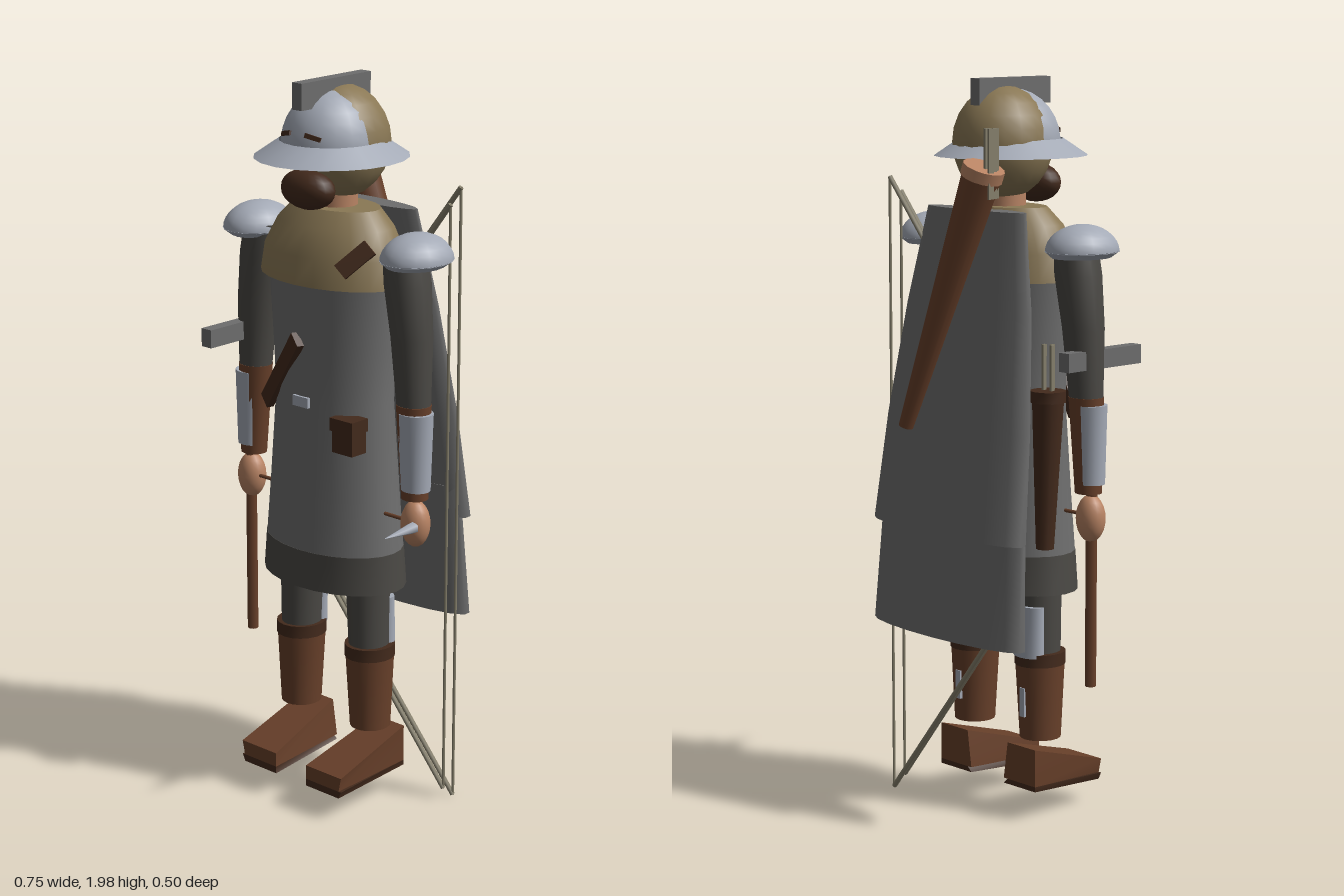
import * as THREE from 'three';

const mat = (name, color) => Object.assign(new THREE.MeshStandardMaterial({ color }), { name });

export function createModel() {
  const steel = mat('steel', 0xa4aab6), tan = mat('tan cloth', 0x8a7855), grey = mat('grey cloth', 0x6e6e6e);
  const dark = mat('dark cloth', 0x4a4844), brown = mat('brown leather', 0x68402a), bark = mat('dark leather', 0x432a1c);
  const skin = mat('skin', 0xb98464), wood = mat('pale wood', 0x86806c);
  const model = new THREE.Group();
  model.name = 'archer';

  const add = (name, geo, material, parent = model) => {
    const m = new THREE.Mesh(geo, material);
    m.name = name;
    parent.add(m);
    return m;
  };
  // Closed tube through elliptical rings [y, cx, cz, rx, rz], listed upward
  const loft = (rows, sides = 18) => {
    const pos = [], idx = [];
    const ring = ([y, cx, cz, rx, rz]) => {
      const start = pos.length / 3;
      for (let i = 0; i < sides; i++) {
        const a = (i / sides) * Math.PI * 2;
        pos.push(cx + rx * Math.sin(a), y, cz + rz * Math.cos(a));
      }
      return start;
    };
    const starts = rows.map(ring);
    for (let r = 0; r + 1 < rows.length; r++)
      for (let i = 0; i < sides; i++) {
        const j = (i + 1) % sides, a = starts[r], b = starts[r + 1];
        idx.push(a + i, a + j, b + j, a + i, b + j, b + i);
      }
    for (const [row, up] of [[rows[0], false], [rows[rows.length - 1], true]]) {
      const s = ring(row), c = pos.length / 3;
      pos.push(row[1], row[0], row[2]);
      for (let i = 0; i < sides; i++) {
        const j = (i + 1) % sides;
        idx.push(c, up ? s + i : s + j, up ? s + j : s + i);
      }
    }
    const g = new THREE.BufferGeometry();
    g.setAttribute('position', new THREE.Float32BufferAttribute(pos, 3));
    g.setIndex(idx);
    g.computeVertexNormals();
    return g;
  };
  const ball = (x, y, z, rx, ry, rz) => new THREE.SphereGeometry(1, 18, 12).scale(rx, ry, rz).translate(x, y, z);
  const box = (x, y, z, w, h, d) => new THREE.BoxGeometry(w, h, d).translate(x, y, z);
  // Straight rod between two points
  const rod = (a, b, r0, r1 = r0, sides = 6) => {
    const p = new THREE.Vector3(...a), q = new THREE.Vector3(...b), d = q.clone().sub(p);
    const g = new THREE.CylinderGeometry(r1, r0, d.length(), sides);
    g.applyQuaternion(new THREE.Quaternion().setFromUnitVectors(new THREE.Vector3(0, 1, 0), d.normalize()));
    return g.translate(...p.add(q).multiplyScalar(0.5).toArray());
  };

  // Head, hood and helmet
  add('neck', loft([[1.6, 0, 0.02, 0.055, 0.055], [1.72, 0, 0.02, 0.055, 0.055]]), skin);
  add('hood', ball(0, 1.83, 0.01, 0.133, 0.15, 0.137), tan);
  add('beard', ball(0, 1.72, 0.13, 0.085, 0.053, 0.052), bark);
  add('helmetDome', new THREE.SphereGeometry(1, 18, 8, 0, Math.PI * 2, 0, Math.PI * 0.55)
    .scale(0.129, 0.141, 0.129).translate(0, 1.83, 0.045), steel);
  const brimMat = steel.clone();
  brimMat.side = THREE.DoubleSide;
  add('helmetBrim', new THREE.CylinderGeometry(0.135, 0.2, 0.045, 20, 1, true)
    .scale(1, 1, 1.05).translate(0, 1.818, 0.04), brimMat);
  add('crest', box(0, 1.965, 0.04, 0.034, 0.07, 0.26), grey);
  for (const s of [-1, 1]) {
    const slit = add('eyeSlit', new THREE.BoxGeometry(0.045, 0.012, 0.009), bark);
    slit.position.set(s * 0.046, 1.864, 0.16);
    slit.rotation.set(-0.2, s * 0.35, s * -0.15);
  }

  // Torso clothing
  add('tunic', loft([[0.74, 0, 0.03, 0.213, 0.147], [0.9, 0, 0.03, 0.2, 0.137], [1.15, 0, 0.03, 0.18, 0.127],
    [1.3, 0, 0.03, 0.187, 0.132], [1.5, 0, 0.03, 0.2, 0.14]], 24), grey);
  add('tunicHem', loft([[0.64, 0, 0.03, 0.224, 0.15], [0.745, 0, 0.03, 0.214, 0.148]], 24), dark);
  add('mantle', loft([[1.475, 0, 0.03, 0.228, 0.152], [1.55, 0, 0.03, 0.215, 0.143],
    [1.62, 0, 0.025, 0.18, 0.115], [1.665, 0, 0.02, 0.135, 0.085]], 24), tan);
  add('buckle', box(0, 1.155, 0.16, 0.055, 0.028, 0.009), steel);
  add('pouch', box(0.143, 1.08, 0.128, 0.07, 0.085, 0.055), bark);
  add('pouchFlap', box(0.143, 1.115, 0.13, 0.08, 0.035, 0.062), bark);
  const strap = (name, x, y, z, length, rx, ry, rz) => {
    const m = add(name, new THREE.BoxGeometry(0.045, length, 0.02), bark);
    m.position.set(x, y, z);
    m.rotation.set(rx, ry, rz);
  };
  strap('chestStrap', -0.085, 1.22, 0.143, 0.28, 0, -0.33, -0.7);
  strap('shoulderStrap', 0.158, 1.557, 0.122, 0.1, -0.35, 0.55, -0.65);

  // Cloak in two overlapping layers
  add('cloakUpper', loft([[0.81, 0, -0.19, 0.29, 0.062], [1.1, 0, -0.155, 0.27, 0.058],
    [1.4, 0, -0.115, 0.235, 0.048], [1.66, 0, -0.085, 0.185, 0.035]]), grey);
  add('cloakLower', loft([[0.53, 0, -0.192, 0.29, 0.06], [0.9, 0, -0.17, 0.27, 0.053]]), grey);

  // Arms and legs, mirrored
  for (const s of [-1, 1]) {
    const arm = new THREE.Group(), leg = new THREE.Group();
    arm.name = s > 0 ? 'leftArm' : 'rightArm';
    leg.name = s > 0 ? 'leftLeg' : 'rightLeg';
    model.add(arm, leg);
    add('sleeve', loft([[1.17, s * 0.288, 0.038, 0.047, 0.043], [1.36, s * 0.278, 0.036, 0.057, 0.055],
      [1.5, s * 0.26, 0.034, 0.062, 0.063], [1.58, s * 0.25, 0.034, 0.055, 0.06]]), dark, arm);
    add('forearm', loft([[0.925, s * 0.296, 0.04, 0.037, 0.035], [1.18, s * 0.288, 0.038, 0.049, 0.045]]), brown, arm);
    add('bracer', loft([[0.95, s * 0.301, 0.042, 0.041, 0.037], [1.16, s * 0.297, 0.041, 0.05, 0.045]]), steel, arm);
    add('hand', ball(s * 0.302, 0.857, 0.043, 0.041, 0.064, 0.038), skin, arm);
    add('grip', rod([s * 0.2, 0.862, 0.05], [s * 0.28, 0.862, 0.05], 0.005), brown, arm);
    add('pauldron', new THREE.SphereGeometry(1, 16, 8, 0, Math.PI * 2, 0, Math.PI / 2)
      .scale(0.089, 0.072, 0.105).translate(s * 0.283, 1.56, 0.025), steel, arm);
    add('pauldronRim', loft([[1.545, s * 0.28, 0.025, 0.07, 0.085], [1.562, s * 0.283, 0.025, 0.09, 0.106]], 16), steel, arm);

    add('trouser', loft([[0.42, s * 0.127, 0.03, 0.053, 0.056], [0.75, s * 0.12, 0.03, 0.062, 0.064]]), dark, leg);
    add('boot', loft([[0.23, s * 0.13, 0.028, 0.055, 0.057], [0.45, s * 0.128, 0.028, 0.066, 0.069]]), brown, leg);
    add('bootCuff', loft([[0.435, s * 0.128, 0.028, 0.068, 0.071], [0.47, s * 0.128, 0.028, 0.068, 0.071]]), bark, leg);
    add('kneePlate', loft([[0.46, s * 0.127, -0.012, 0.05, 0.032], [0.6, s * 0.123, -0.01, 0.052, 0.032]]), steel, leg);
    add('calfPlate', box(s * 0.127, 0.335, -0.035, 0.018, 0.08, 0.009), steel, leg);

    // Wedge foot with a sole, sloping to the toe
    const foot = (name, material, topHeel, topToe, lowHeel, lowToe) => {
      const g = new THREE.BoxGeometry(1, 1, 1), p = g.attributes.position;
      for (let i = 0; i < p.count; i++) {
        const toe = p.getZ(i) > 0, top = p.getY(i) > 0, outer = p.getX(i) * s > 0;
        const x = outer ? (toe && !top ? 0.178 : 0.187) : (toe ? 0.057 : top ? 0.08 : 0.065);
        p.setXYZ(i, s * x, top ? (toe ? topToe : topHeel) : (toe ? lowToe : lowHeel), toe ? 0.207 : -0.047);
      }
      g.computeVertexNormals();
      add(name, g, material, leg);
    };
    foot('foot', brown, 0.215, 0.14, 0.112, 0.1);
    foot('sole', bark, 0.112, 0.1, 0.098, 0.08);
  }

  // Quiver slung on the back
  const top = [-0.127, 1.775, -0.178], tip = [0.13, 1.08, -0.222];
  add('backQuiver', rod(tip, top, 0.02, 0.053, 14), brown);
  add('backQuiverRim', rod([-0.118, 1.752, -0.179], [-0.129, 1.781, -0.178], 0.056, 0.056, 14), skin);
  for (const [x, z] of [[-0.166, -0.19], [-0.157, -0.172], [-0.15, -0.158], [-0.14, -0.178]])
    add('backArrow', box(x, 1.79, z, 0.006, 0.18, 0.018), wood);

  // Quiver at the right hip
  add('hipQuiver', loft([[0.78, -0.235, -0.06, 0.025, 0.024], [1.17, -0.237, -0.052, 0.043, 0.043]], 12), bark);
  add('hipQuiverRim', loft([[1.17, -0.237, -0.052, 0.049, 0.047], [1.2, -0.237, -0.052, 0.049, 0.047]], 12), bark);
  for (let i = 0; i < 3; i++)
    add('hipArrow', box(-0.25 + i * 0.015, 1.22, -0.05 + (i % 2) * 0.015, 0.007, 0.2, 0.012), wood);

  // Hammer in the right hand, short blade in the left
  add('hammerShaft', rod([-0.303, 0.4, 0.045], [-0.303, 1.28, 0.045], 0.015, 0.015, 8), brown);
  add('hammerHead', box(-0.303, 1.28, 0.075, 0.036, 0.05, 0.27), grey);
  add('blade', rod([0.32, 0.857, 0.07], [0.32, 0.855, 0.183], 0.017, 0.001, 6), steel);

  // Two slung bows with straight strings
  for (const [x, low, high, z] of [[0.305, 0.02, 1.73, -0.12], [0.3, 0.05, 1.69, -0.085]]) {
    const mid = z + 0.07, pts = [[x, low, z], [-0.07, low + 0.54, mid], [-0.07, high - 0.54, mid], [x, high, z]];
    for (let i = 0; i < 3; i++) add('bowLimb', rod(pts[i], pts[i + 1], 0.007), wood);
    add('bowString', rod(pts[0], pts[3], 0.004), wood);
  }
  return model;
}
